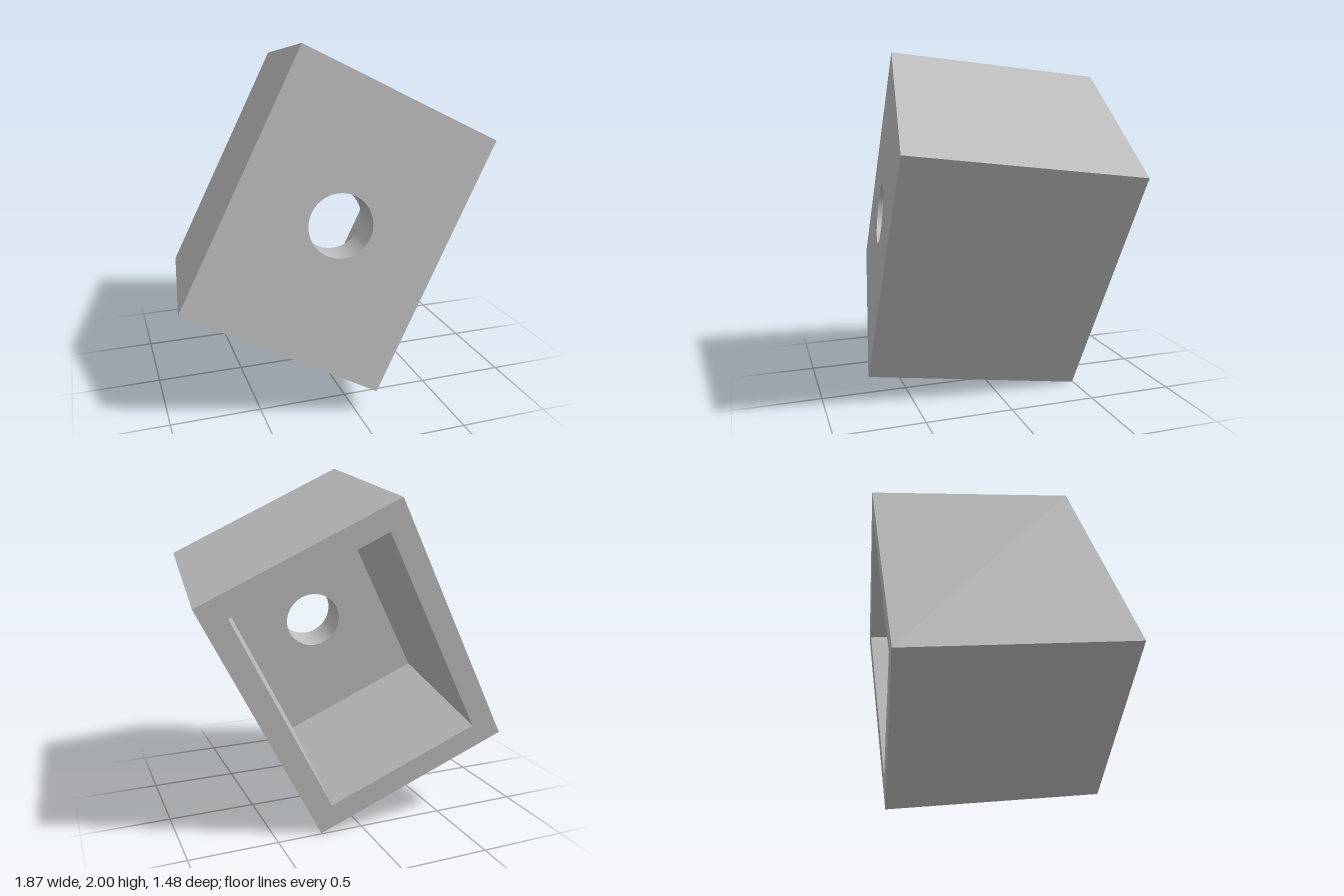
import * as THREE from 'three';

const W = 1.168, H = 1.509, D = 1.251; // outer block
const WALL = 0.128, POCKET = 0.995;    // rim thickness, pocket depth
const R = 0.174;                       // bore radius

const rect = (Type, w, h) => new Type([
  new THREE.Vector2(-w / 2, -h / 2), new THREE.Vector2(w / 2, -h / 2),
  new THREE.Vector2(w / 2, h / 2), new THREE.Vector2(-w / 2, h / 2),
]);

// Rectangular face with one hole, facing +z
function face(w, h, hole) {
  const shape = rect(THREE.Shape, w, h);
  shape.holes.push(hole);
  return new THREE.ShapeGeometry(shape, 48);
}

// Four side walls of a box, without its ends
function sides(w, h, d) {
  const geo = new THREE.BoxGeometry(w, h, d);
  geo.setIndex(Array.from(geo.index.array.slice(0, 24)));
  geo.clearGroups();
  return geo;
}

// Turn a surface to face inwards
function inward(geo) {
  geo.setIndex(Array.from(geo.index.array).reverse());
  const n = geo.attributes.normal.array;
  for (let i = 0; i < n.length; i++) n[i] = -n[i];
  return geo;
}

export function createModel() {
  const model = new THREE.Group();
  model.name = 'tiltedHousing';
  const grey = new THREE.MeshStandardMaterial({ color: 0xbcbcbc });
  grey.name = 'grey';

  const block = new THREE.Group();
  block.name = 'block';
  model.add(block);
  const add = (name, geo, z) => {
    const mesh = new THREE.Mesh(geo, grey);
    mesh.name = name;
    mesh.position.z = z;
    block.add(mesh);
  };

  const iw = W - 2 * WALL, ih = H - 2 * WALL;
  const floorZ = -D / 2 + POCKET;
  const plate = D - POCKET;
  const circle = new THREE.Path().absarc(0, 0, R, 0, Math.PI * 2);

  // Outside
  add('outerWalls', sides(W, H, D), 0);
  add('frontFace', face(W, H, circle), D / 2);
  add('backRim', face(W, H, rect(THREE.Path, iw, ih)).rotateY(Math.PI), -D / 2);

  // Pocket open to the back
  add('pocketWalls', inward(sides(iw, ih, POCKET)), -D / 2 + POCKET / 2);
  add('pocketFloor', face(iw, ih, circle).rotateY(Math.PI), floorZ);

  // Round bore through the front plate
  const bore = new THREE.CylinderGeometry(R, R, plate, 96, 1, true).rotateX(Math.PI / 2);
  add('bore', inward(bore), floorZ + plate / 2);

  // Tilt of the whole block
  const u = new THREE.Vector3(1.03, -0.52, 0.18).normalize();
  const w = new THREE.Vector3().crossVectors(u, new THREE.Vector3(0.69, 1.34, -0.067)).normalize();
  const v = new THREE.Vector3().crossVectors(w, u);
  block.setRotationFromMatrix(new THREE.Matrix4().makeBasis(u, v, w));
  block.position.y = 1;
  return model;
}
